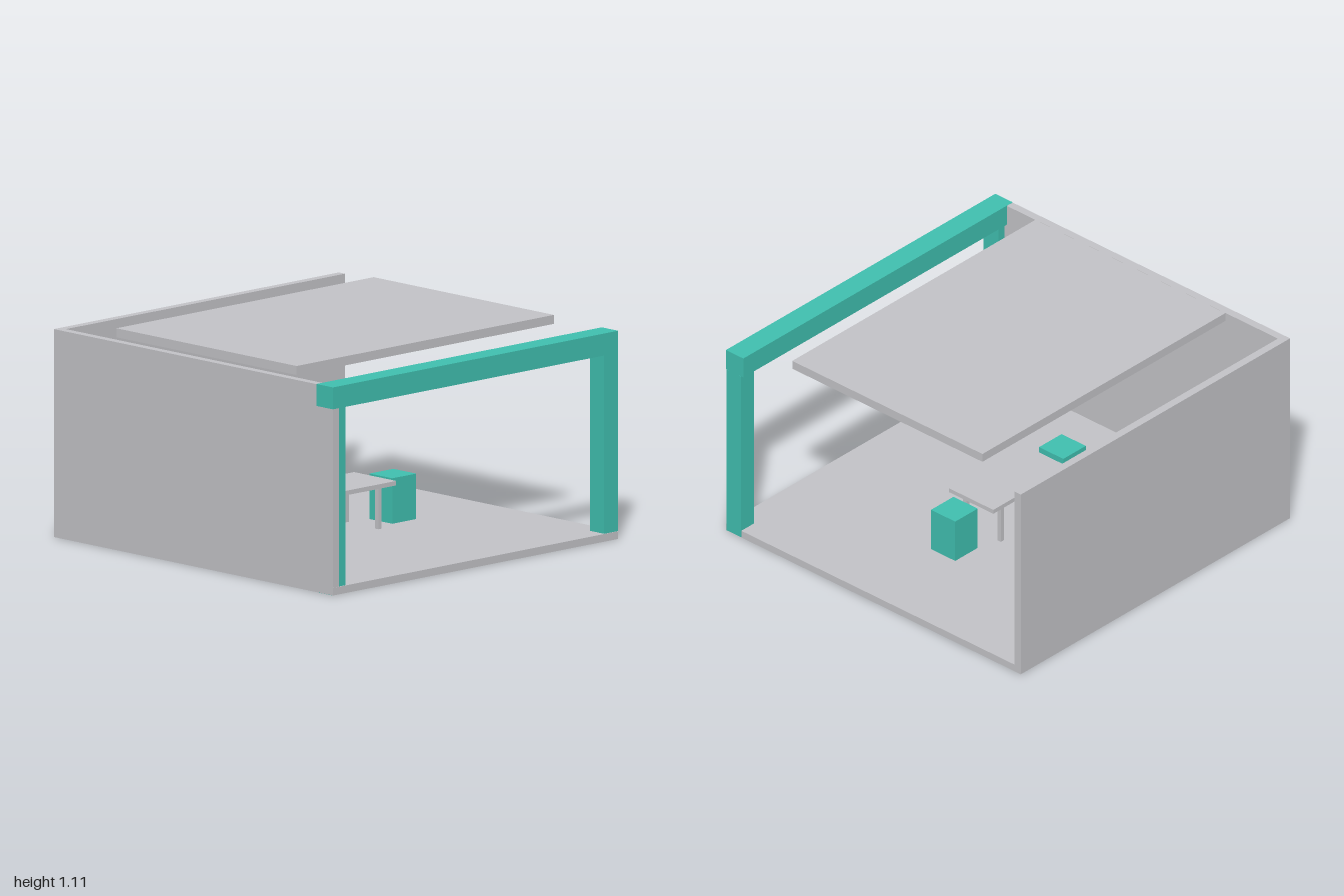
import * as THREE from 'three';

export function createModel() {
  const model = new THREE.Group();
  model.name = 'openBooth';

  const grey = new THREE.MeshStandardMaterial({ color: 0xc4c4c8 });
  grey.name = 'light grey';
  const teal = new THREE.MeshStandardMaterial({ color: 0x40c0b0 });
  teal.name = 'teal';

  // Box given by its [min, max] range on each axis
  function block(name, material, x, y, z, parent = model) {
    const mesh = new THREE.Mesh(
      new THREE.BoxGeometry(x[1] - x[0], y[1] - y[0], z[1] - z[0]), material);
    mesh.position.set((x[0] + x[1]) / 2, (y[0] + y[1]) / 2, (z[0] + z[1]) / 2);
    mesh.name = name;
    parent.add(mesh);
    return mesh;
  }

  const W = 0.994;      // half width
  const FLOOR = 0.04;   // floor top
  const TOP = 1.062;    // wall top
  const BEAM = 0.951;   // beam underside

  // Shell: floor, back wall, one side wall, floating roof panel
  block('floor', grey, [-W, W], [0.001, FLOOR], [-1, 1]);
  block('backWall', grey, [-W, W], [0.001, TOP], [-1, -0.957]);
  block('sideWall', grey, [-W, -0.951], [0.001, TOP], [-1, 0.999]);
  block('roofPanel', grey, [-0.9, 0.894], [1.059, 1.105], [-0.648, 0.642]);

  // Front portal: beam on two posts
  block('frontBeam', teal, [-W - 0.001, W], [BEAM, TOP + 0.001], [0.882, 1]);
  block('rightPost', teal, [-W + 0.001, -0.904], [0, BEAM], [0.896, 0.996]);
  block('leftPost', teal, [0.9, W + 0.001], [0.002, BEAM], [0.896, 0.996]);

  // Furniture: table with four legs and two block seats
  const furniture = new THREE.Group();
  furniture.name = 'furniture';
  furniture.position.x = -0.003;
  model.add(furniture);
  block('tableTop', grey, [-0.276, 0.276], [0.252, 0.275], [-0.151, 0.151], furniture);
  for (const sx of [-1, 1]) {
    for (const sz of [-1, 1]) {
      const cx = sx * 0.184, cz = sz * 0.117;
      block('tableLeg', grey, [cx - 0.012, cx + 0.012], [FLOOR, 0.252],
        [cz - 0.012, cz + 0.012], furniture);
    }
    block('seat', teal, [sx * 0.399 - 0.083, sx * 0.399 + 0.083], [FLOOR, 0.272],
      [-0.082, 0.082], furniture);
  }
  return model;
}
